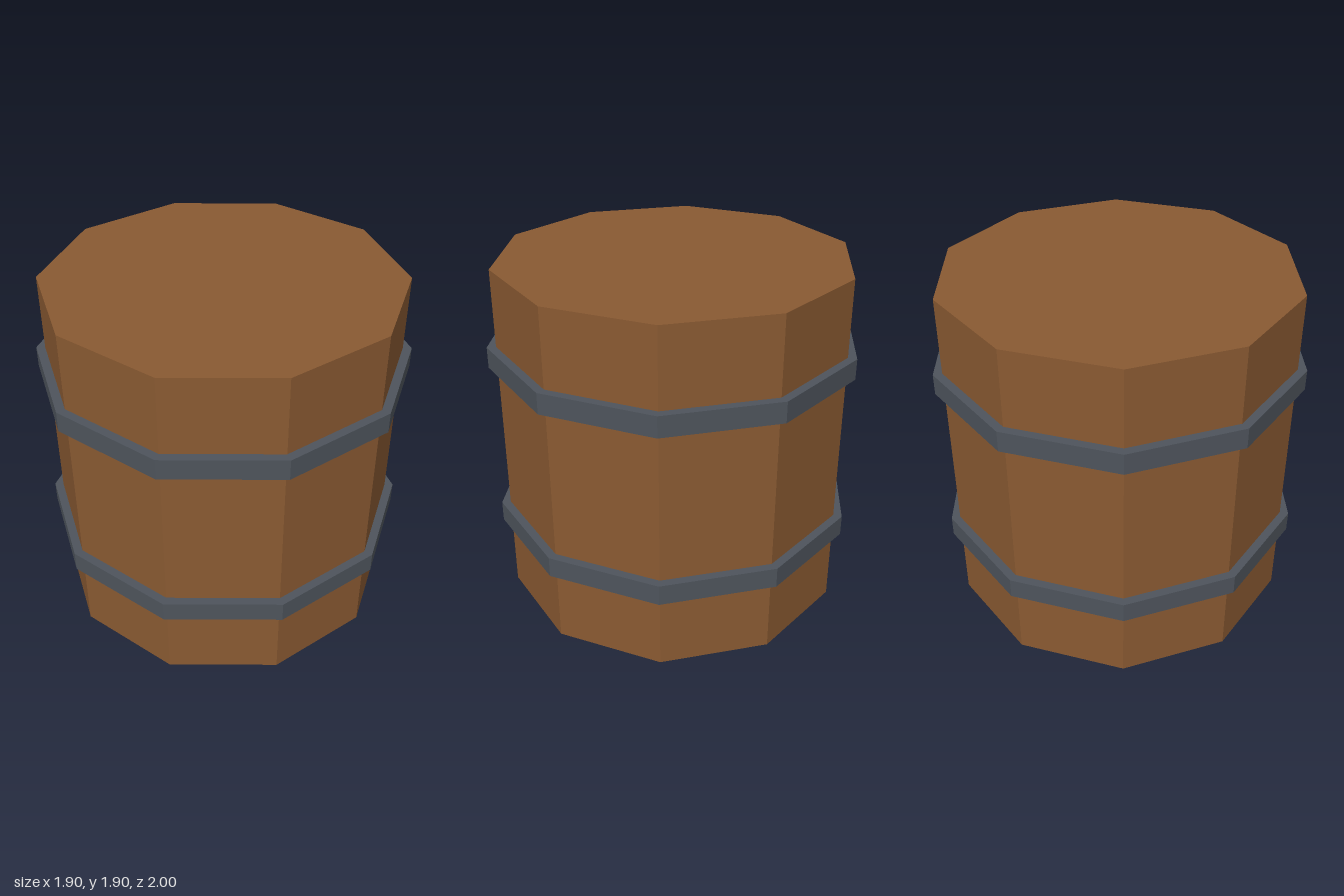
import * as THREE from 'three';

const SIDES = 10;
const HEIGHT = 1.905;

export function createModel() {
  const wood = new THREE.MeshStandardMaterial({ color: 0x8a5a32, flatShading: true });
  wood.name = 'wood';
  const iron = new THREE.MeshStandardMaterial({ color: 0x4e545c, flatShading: true });
  iron.name = 'iron';

  const barrel = new THREE.Group();
  barrel.name = 'barrel';

  // Ten-sided prism with a corner facing the front
  const addPrism = (name, radius, height, y, material) => {
    const mesh = new THREE.Mesh(new THREE.CylinderGeometry(radius, radius, height, SIDES), material);
    mesh.name = name;
    mesh.position.y = y;
    barrel.add(mesh);
  };

  // Wooden body
  addPrism('body', 0.952, HEIGHT, HEIGHT / 2, wood);

  // Iron hoops at one and three quarters of the height
  addPrism('lowerHoop', 1, 0.114, HEIGHT * 0.25, iron);
  addPrism('upperHoop', 1, 0.114, HEIGHT * 0.75, iron);

  return barrel;
}
